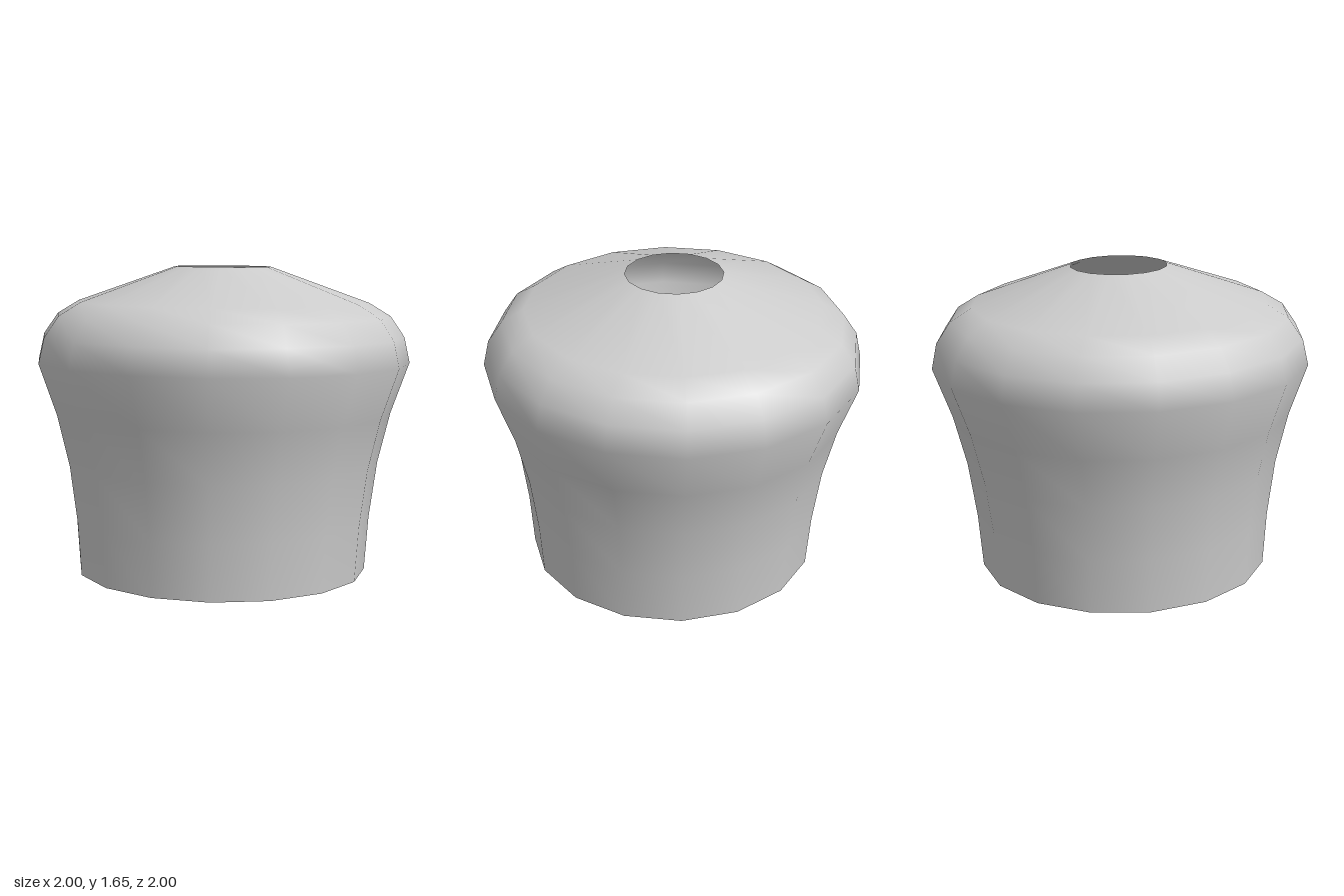
import * as THREE from 'three';

export function createModel() {
  const group = new THREE.Group();
  const material = new THREE.MeshStandardMaterial({ color: 0xcccccc, side: THREE.DoubleSide });

  // Thin open shell: flared wall, rounded shoulder, sloping roof with a round hole
  const profile = [
    [0.78, 0], [0.8, 0.29], [0.84, 0.59], [0.905, 0.86], [1, 1.13],
    [0.97, 1.265], [0.895, 1.375], [0.78, 1.445], [0.255, 1.632],
  ].map(([r, y]) => new THREE.Vector2(r, y));
  const shell = new THREE.Mesh(new THREE.LatheGeometry(profile, 16), material);
  shell.name = 'domedShell';

  // The whole shell leans back very slightly
  shell.rotation.x = -0.016;
  shell.position.set(0, 0.014, 0.018);
  group.add(shell);
  return group;
}
